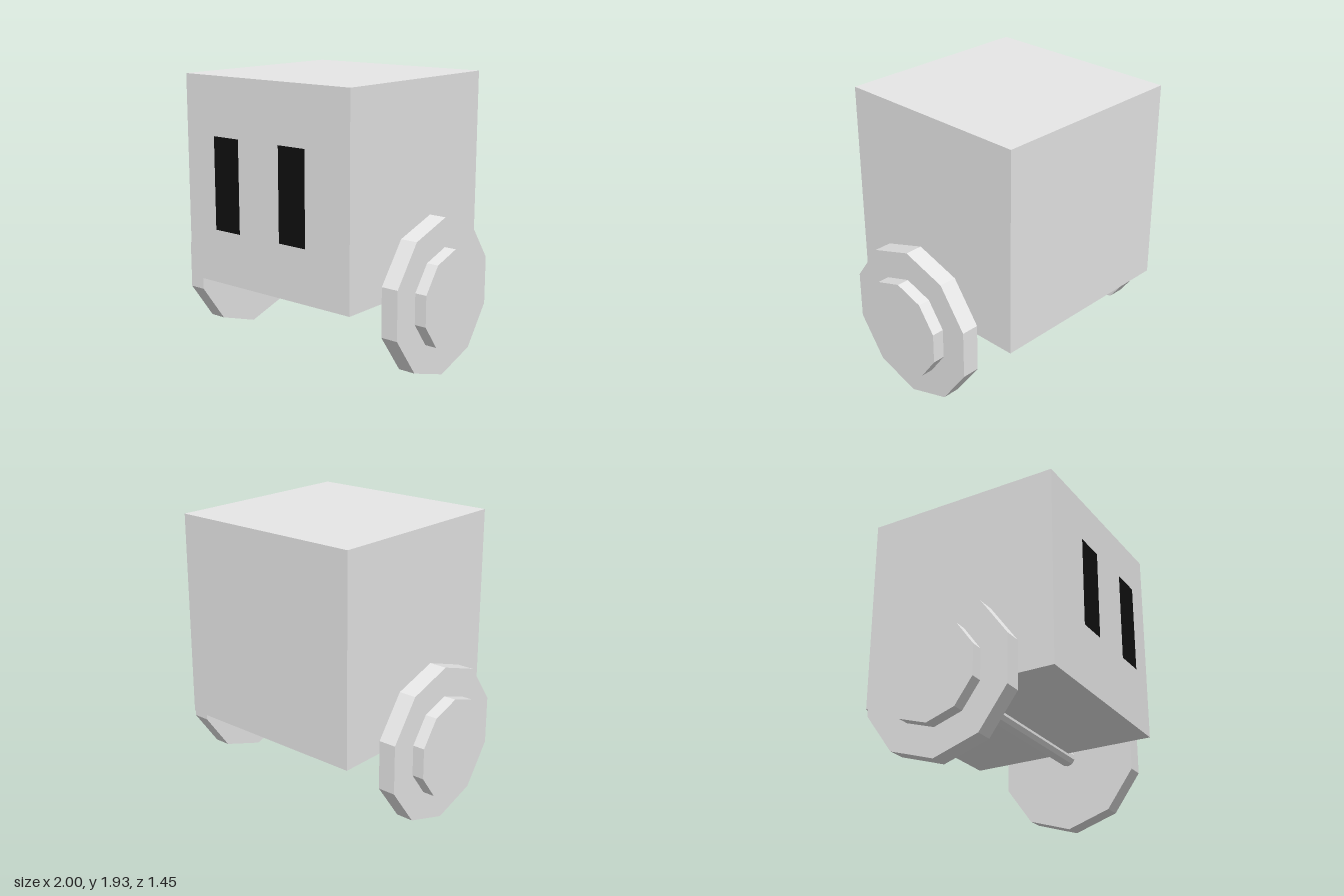
import * as THREE from 'three';

const Y = 0.533, Z = -0.028; // wheel axis

export function createModel() {
  const model = new THREE.Group();
  const shell = new THREE.MeshStandardMaterial({ color: 0xe7e7e7, flatShading: true });
  shell.name = 'pale grey';
  const dark = new THREE.MeshStandardMaterial({ color: 0x0f0f0f });
  dark.name = 'black';

  const add = (name, geometry, material, x, y, z) => {
    const mesh = new THREE.Mesh(geometry, material);
    mesh.name = name;
    mesh.position.set(x, y, z);
    model.add(mesh);
  };

  // ten-sided disc lying along x, with a corner pointing straight up
  const disc = (radius, width) =>
    new THREE.CylinderGeometry(radius, radius, width, 10, 1, false, Math.PI / 2).rotateZ(Math.PI / 2);

  // cube body
  add('body', new THREE.BoxGeometry(1.395, 1.395, 1.395), shell, 0, 1.231, Z);

  // axle under the body
  add('axle', disc(0.058, 1.6), shell, 0, Y, Z);

  for (const [side, s] of [['left', 1], ['right', -1]]) {
    // wheel with a raised hub
    add(side + 'Wheel', disc(0.531, 0.12), shell, s * 0.857, Y, Z);
    add(side + 'Hub', disc(0.335, 0.083), shell, s * 0.9585, Y, Z);
    // eye panel floating just ahead of the face
    add(side + 'Eye', new THREE.PlaneGeometry(0.218, 0.625), dark, s * 0.281, 1.231, 0.726);
  }
  return model;
}
